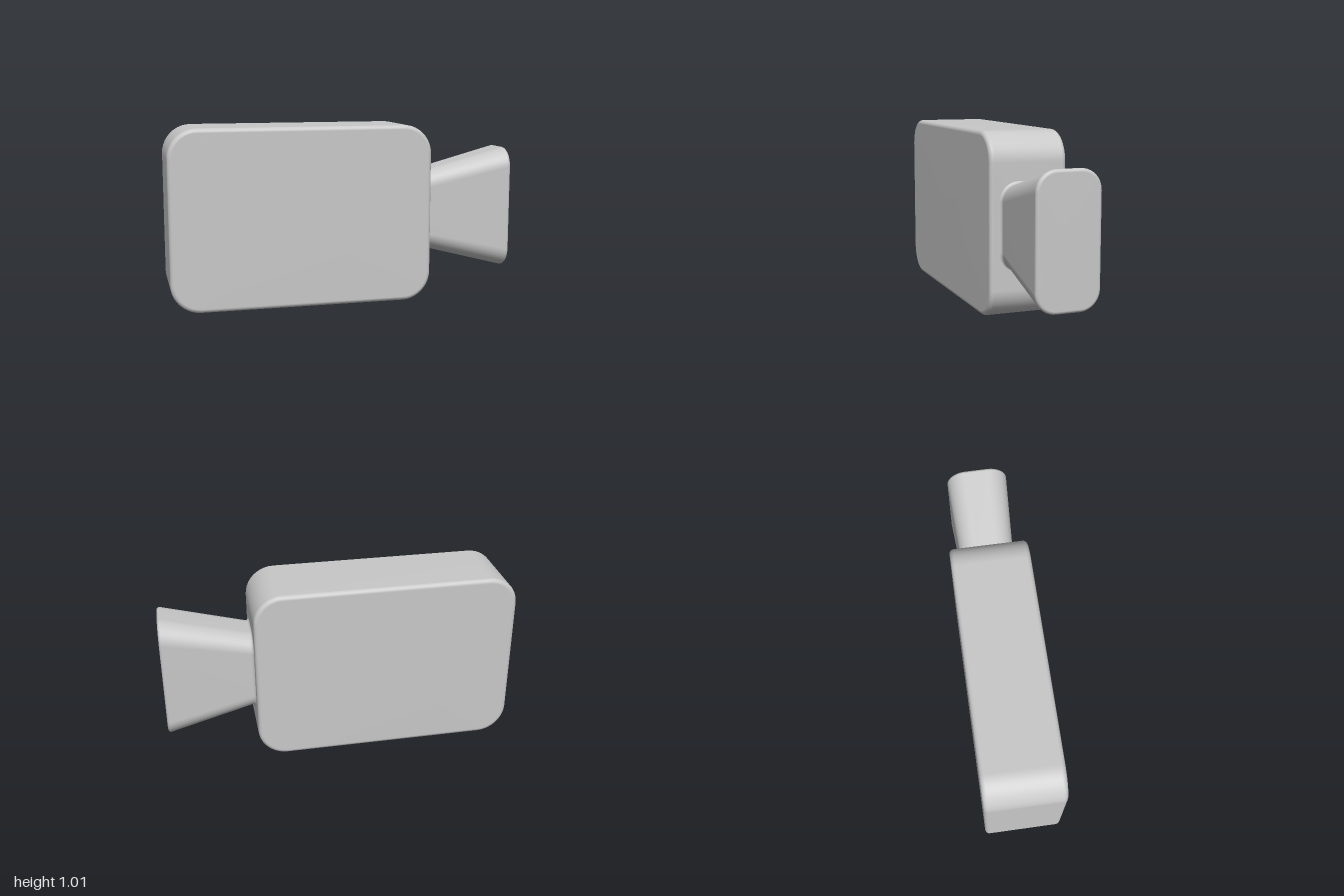
import * as THREE from 'three';

// Outline of a rounded rectangle, counter-clockwise
function roundedRect(w, h, r, steps = 10) {
  const pts = [];
  [[1, 1], [-1, 1], [-1, -1], [1, -1]].forEach(([sx, sy], q) => {
    for (let i = 0; i <= steps; i++) {
      const a = (q + i / steps) * Math.PI / 2;
      pts.push([sx * (w - r) + r * Math.cos(a), sy * (h - r) + r * Math.sin(a)]);
    }
  });
  return pts;
}

// Skin rounded-rectangle sections [z, halfWidth, halfHeight, radius] along +z and cap both ends
function loft(sections) {
  const pos = [], idx = [];
  let n = 0;
  for (const [z, w, h, r] of sections) {
    const ring = roundedRect(w, h, r);
    n = ring.length;
    for (const [x, y] of ring) pos.push(x, y, z);
  }
  const last = sections.length - 1;
  for (let s = 0; s < last; s++) {
    for (let i = 0; i < n; i++) {
      const a = s * n + i, b = s * n + (i + 1) % n;
      idx.push(a, b, b + n, a, b + n, a + n);
    }
  }
  const c = pos.length / 3;
  pos.push(0, 0, sections[0][0], 0, 0, sections[last][0]);
  for (let i = 0; i < n; i++) {
    const j = (i + 1) % n;
    idx.push(c, j, i, c + 1, last * n + i, last * n + j);
  }
  const geo = new THREE.BufferGeometry();
  geo.setAttribute('position', new THREE.Float32BufferAttribute(pos, 3));
  geo.setIndex(idx);
  geo.computeVertexNormals();
  return geo;
}

// Quarter-round edge from the full section at z - b to the inset section at z
function roundedEdge(z, w, h, r, b, steps = 5) {
  const out = [];
  for (let i = 0; i <= steps; i++) {
    const a = i / steps * Math.PI / 2, inset = b * (1 - Math.cos(a));
    out.push([z - b + b * Math.sin(a), w - inset, h - inset, r - inset]);
  }
  return out;
}

export function createModel() {
  const grey = new THREE.MeshStandardMaterial({ color: 0xc8c8c8 });
  grey.name = 'plain grey';
  const model = new THREE.Group();
  model.name = 'videoCamera';

  // Slab body with rounded corners and softened front and back edges
  const front = roundedEdge(0.22, 0.745, 0.5075, 0.165, 0.025);
  const back = front.map(([z, w, h, r]) => [-z, w, h, r]).reverse();
  const body = new THREE.Mesh(loft([...back, ...front]), grey);
  body.name = 'body';
  body.position.set(-0.255, 0.5075, 0);
  model.add(body);

  // Flared lens hood: concave fillet at the body, then a taper out to a soft rim
  const sections = [[0.46, 0.174, 0.252, 0.115]];
  for (let i = 0; i <= 5; i++) {
    const a = i / 5 * Math.PI / 2, flare = 0.02 * (1 - Math.sin(a));
    sections.push([0.508 - 0.02 * Math.cos(a), 0.154 + flare, 0.232 + flare, 0.095 + flare]);
  }
  sections.push(...roundedEdge(1, 0.176, 0.357, 0.112, 0.018));
  const hood = new THREE.Mesh(loft(sections).rotateY(Math.PI / 2), grey);
  hood.name = 'lensHood';
  hood.position.y = 0.51;
  model.add(hood);

  return model;
}
